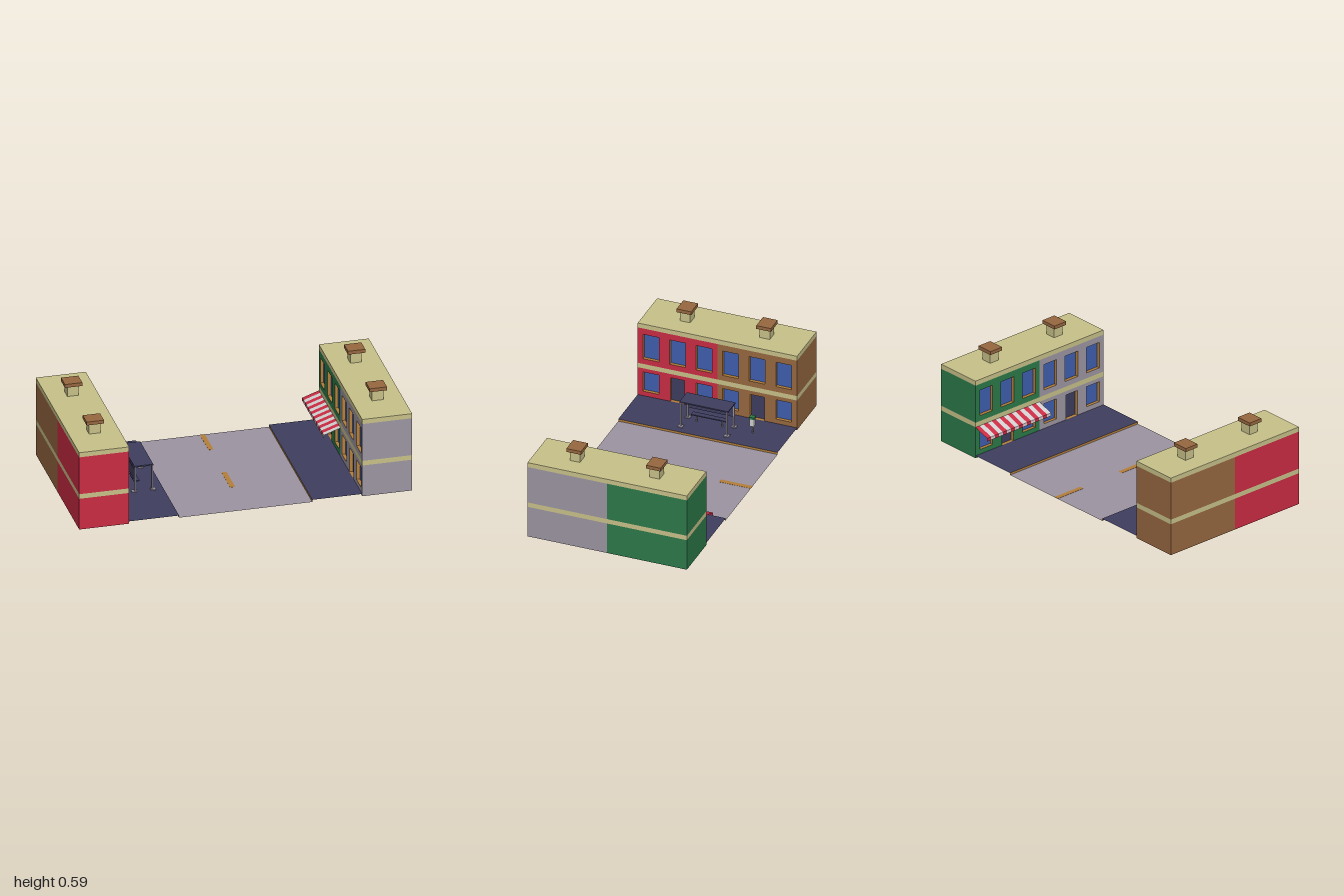
import * as THREE from 'three';

function makeMaterial(name, color, side = THREE.FrontSide) {
  const m = new THREE.MeshStandardMaterial({ color, side });
  m.name = name;
  return m;
}

export function createModel() {
  const two = THREE.DoubleSide;
  const cream = makeMaterial('cream stone', 0xc9c28a);
  const navy = makeMaterial('navy paving', 0x3f3e60, two);
  const grey = makeMaterial('grey', 0x9d96a3, two);
  const red = makeMaterial('red', 0xcc2c44, two);
  const green = makeMaterial('green', 0x2c7a49);
  const brown = makeMaterial('brown', 0x976840);
  const tan = makeMaterial('tan trim', 0xb5803c, two);
  const white = makeMaterial('off white', 0xd2d0d0, two);
  const blue = makeMaterial('window blue', 0x3f5fae);

  const model = new THREE.Group();
  model.name = 'streetScene';

  const add = (parent, name, geometry, material, x = 0, y = 0, z = 0) => {
    const mesh = new THREE.Mesh(geometry, material);
    mesh.name = name;
    mesh.position.set(x, y, z);
    parent.add(mesh);
    return mesh;
  };
  const box = (w, h, d) => new THREE.BoxGeometry(w, h, d);
  const flat = (w, d) => new THREE.PlaneGeometry(w, d).rotateX(-Math.PI / 2);

  // Box with some faces left out (0..5 = +x, -x, +y, -y, +z, -z)
  const openBox = (w, h, d, ...drop) => {
    const g = box(w, h, d);
    g.setIndex(Array.from(g.index.array).filter((_, i) => !drop.includes(Math.floor(i / 6))));
    g.clearGroups();
    return g;
  };

  // Road, lane dashes, raised pavements and kerbs
  add(model, 'road', flat(0.8, 1), grey, 0, 0.001, 0);
  for (const z of [-0.4, 0.1]) add(model, 'laneDash', box(0.03, 0.002, 0.2), tan, 0, 0.001, z);
  for (const s of [-1, 1]) {
    add(model, 'pavement', flat(0.3, 1), navy, s * 0.55, 0.015, 0);
    const kerb = add(model, 'kerb', new THREE.PlaneGeometry(1, 0.015), tan, s * 0.4, 0.0075, 0);
    kerb.rotation.y = -s * Math.PI / 2;
  }

  // Terraced houses: local +z faces the street
  const W = 0.5, D = 0.3, RECESS = 0.02;

  function addStorey(house, wall, y0, y1, openings) {
    const h = y1 - y0;
    add(house, 'storeyWalls', openBox(W, h, D, 2, 3, 4), wall, 0, (y0 + y1) / 2, 0);
    const shape = new THREE.Shape();
    shape.moveTo(-W / 2, y0).lineTo(W / 2, y0).lineTo(W / 2, y1).lineTo(-W / 2, y1);
    for (const o of openings) {
      const l = o.x - o.w / 2, r = o.x + o.w / 2;
      const hole = new THREE.Path();
      hole.moveTo(l, o.y0).lineTo(l, o.y1).lineTo(r, o.y1).lineTo(r, o.y0);
      shape.holes.push(hole);

      // Inward-facing reveal with the pane or door at its back
      const oh = o.y1 - o.y0, oy = (o.y0 + o.y1) / 2;
      const reveal = openBox(o.w, oh, RECESS, 4, 5).scale(1, 1, -1);
      reveal.computeVertexNormals();
      add(house, 'openingReveal', reveal, tan, o.x, oy, D / 2 - RECESS / 2);
      add(house, o.name, new THREE.PlaneGeometry(o.w, oh), o.material, o.x, oy, D / 2 - RECESS);
    }
    add(house, 'facade', new THREE.ShapeGeometry(shape), wall, 0, 0, D / 2);
  }

  function addHouse(name, wall, side, z) {
    const house = new THREE.Group();
    house.name = name;
    house.position.set(side * 0.85, 0, z);
    house.rotation.y = -side * Math.PI / 2;
    model.add(house);

    const spots = [-W / 3, 0, W / 3];
    addStorey(house, wall, 0, 0.2, spots.map((x) => x === 0
      ? { name: 'door', material: navy, x, w: 0.09, y0: 0.015, y1: 0.175 }
      : { name: 'lowerWindow', material: blue, x, w: 0.1, y0: 0.045, y1: 0.175 }));
    addStorey(house, wall, 0.23, 0.47, spots.map((x) => (
      { name: 'upperWindow', material: blue, x, w: 0.1, y0: 0.265, y1: 0.43 })));
    add(house, 'floor', flat(W, D), navy, 0, 0, 0);
    add(house, 'stoneBand', box(W, 0.03, D), cream, 0, 0.215, 0);
    add(house, 'roofCornice', box(W, 0.03, D), cream, 0, 0.485, 0);
    add(house, 'chimney', box(0.064, 0.065, 0.068), cream, 0, 0.5325, 0);
    add(house, 'chimneyCap', box(0.092, 0.022, 0.104), brown, 0, 0.576, 0);
  }
  addHouse('redHouse', red, -1, 0.25);
  addHouse('brownHouse', brown, -1, -0.25);
  addHouse('greyHouse', grey, 1, 0.25);
  addHouse('greenHouse', green, 1, -0.25);

  // Striped awning: one folded strip of cloth per stripe
  const awning = new THREE.Group();
  awning.name = 'awning';
  model.add(awning);
  const STRIPES = 16, sw = 0.5 / STRIPES;
  const profile = [[0.7, 0.2], [0.6, 0.165], [0.6, 0.145]];
  for (let i = 0; i < STRIPES; i++) {
    const z0 = -0.5 + i * sw, z1 = z0 + sw, pos = [];
    for (let k = 0; k < 2; k++) {
      const [xa, ya] = profile[k], [xb, yb] = profile[k + 1];
      pos.push(xa, ya, z0, xb, yb, z0, xb, yb, z1, xa, ya, z0, xb, yb, z1, xa, ya, z1);
    }
    const g = new THREE.BufferGeometry();
    g.setAttribute('position', new THREE.Float32BufferAttribute(pos, 3));
    g.computeVertexNormals();
    add(awning, 'awningStripe', g, i % 2 ? white : red);
  }

  // Bus shelter with four footed posts, back panel and bench
  const shelter = new THREE.Group();
  shelter.name = 'busShelter';
  shelter.position.set(-0.518, 0.015, -0.012);
  model.add(shelter);
  for (const sx of [-1, 1]) {
    for (const sz of [-1, 1]) {
      add(shelter, 'post', box(0.009, 0.16, 0.009), grey, sx * 0.052, 0.08, sz * 0.145);
      add(shelter, 'postFoot', box(0.03, 0.005, 0.03), grey, sx * 0.057, 0.0025, sz * 0.145);
    }
  }
  add(shelter, 'shelterRoof', box(0.114, 0.008, 0.305), navy, 0, 0.162, 0);
  add(shelter, 'backPanel', box(0.004, 0.07, 0.28), navy, -0.052, 0.105, 0);
  add(shelter, 'benchSeat', box(0.034, 0.006, 0.22), navy, -0.032, 0.047, 0);
  for (const z of [-0.08, 0.08]) add(shelter, 'benchLeg', box(0.008, 0.044, 0.008), grey, -0.032, 0.022, z);

  // Litter bin on a short pole
  const bin = new THREE.Group();
  bin.name = 'litterBin';
  bin.position.set(-0.547, 0.015, -0.283);
  model.add(bin);
  add(bin, 'binPole', box(0.008, 0.1, 0.008), grey, -0.004, 0.05, 0);
  add(bin, 'binBody', box(0.026, 0.048, 0.026), white, 0, 0.076, 0);
  add(bin, 'binLid', box(0.032, 0.014, 0.032), green, 0, 0.107, 0);

  return model;
}
